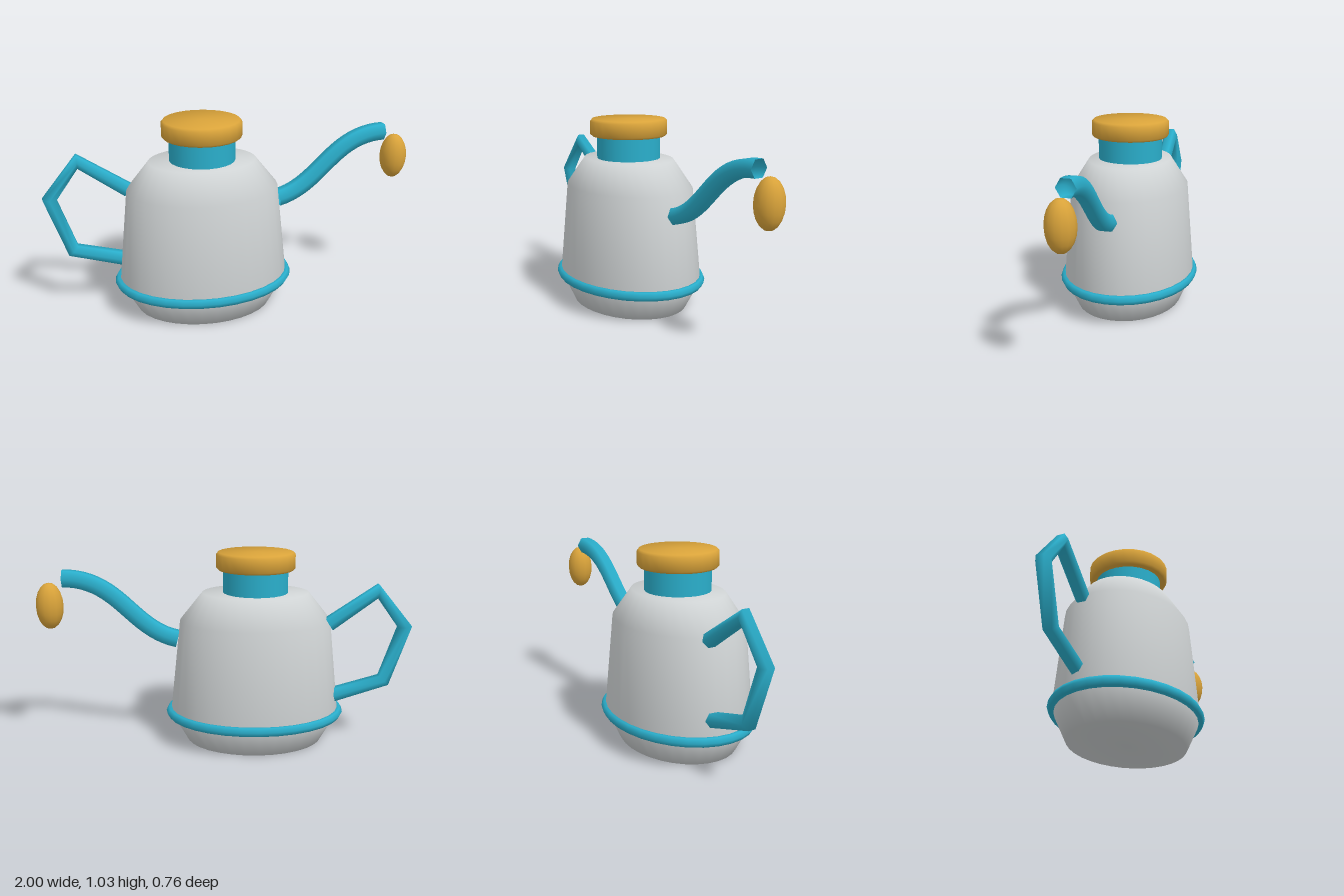
import * as THREE from 'three';
import { toCreasedNormals } from 'three/addons/utils/BufferGeometryUtils.js';

const CENTER_X = -0.17; // axis of the body
const DEPTH = 0.78;     // oval squash along z

// Straight-sided path whose samples land exactly on its corners
class CornerPath extends THREE.Curve {
  constructor(points) {
    super();
    this.points = points;
  }
  getPoint(t, target = new THREE.Vector3()) {
    const n = this.points.length - 1;
    const i = Math.min(Math.floor(t * n), n - 1);
    return target.lerpVectors(this.points[i], this.points[i + 1], t * n - i);
  }
  getPointAt(t, target) { return this.getPoint(t, target); }
  getTangentAt(t, target) { return this.getTangent(t, target); }
}

function lathe(profile, segments) {
  return new THREE.LatheGeometry(profile.map(([r, y]) => new THREE.Vector2(r, y)), segments);
}

export function createModel() {
  const pot = new THREE.Group();
  pot.name = 'wateringPot';

  const mat = (name, color, side = THREE.FrontSide) => {
    const m = new THREE.MeshStandardMaterial({ color, side });
    m.name = name;
    return m;
  };
  const grey = mat('paleGrey', 0xcfd3d4);
  const teal = mat('teal', 0x2aaecb, THREE.DoubleSide);
  const gold = mat('gold', 0xd9a33a);

  const add = (name, geometry, material, x = 0, y = 0, z = 0) => {
    const mesh = new THREE.Mesh(geometry, material);
    mesh.name = name;
    mesh.position.set(x, y, z);
    pot.add(mesh);
    return mesh;
  };

  // Oval body with a tapered foot and sloping shoulder
  add('body', lathe([[0, 0], [0.37, 0], [0.46, 0.16], [0.405, 0.67], [0.285, 0.82], [0, 0.82]], 32),
    grey, CENTER_X).scale.z = DEPTH;

  // Band around the widest part
  const band = new THREE.TorusGeometry(0.46, 0.027, 6, 32).rotateX(Math.PI / 2);
  add('band', band, teal, CENTER_X, 0.16).scale.z = DEPTH;

  // Neck and lid
  add('neck', new THREE.CylinderGeometry(0.174, 0.174, 0.14, 24), teal, CENTER_X, 0.88);
  const lid = lathe([[0, 0.942], [0.2, 0.942], [0.211, 0.953], [0.211, 1.023], [0.2, 1.035], [0, 1.035]], 24);
  add('lid', toCreasedNormals(lid, Math.PI / 3.5), gold, CENTER_X);

  // S-curved spout
  const spoutPath = new THREE.CubicBezierCurve3(
    new THREE.Vector3(0.25, 0.568, 0), new THREE.Vector3(0.5, 0.625, 0),
    new THREE.Vector3(0.55, 0.9, 0), new THREE.Vector3(0.85, 0.902, 0));
  add('spout', new THREE.TubeGeometry(spoutPath, 20, 0.05, 6), teal);

  // Drop hanging beside the spout tip
  add('drop', new THREE.SphereGeometry(0.073, 14, 10), gold, 0.923, 0.755).scale.y = 1.7;

  // Angular handle, set slightly behind the middle
  const handlePath = new CornerPath([
    [-0.555, 0.657], [-0.813, 0.835], [-0.965, 0.64], [-0.863, 0.343], [-0.585, 0.262],
  ].map(([x, y]) => new THREE.Vector3(x, y, -0.082)));
  add('handle', new THREE.TubeGeometry(handlePath, 4, 0.041, 6), teal);

  return pot;
}
